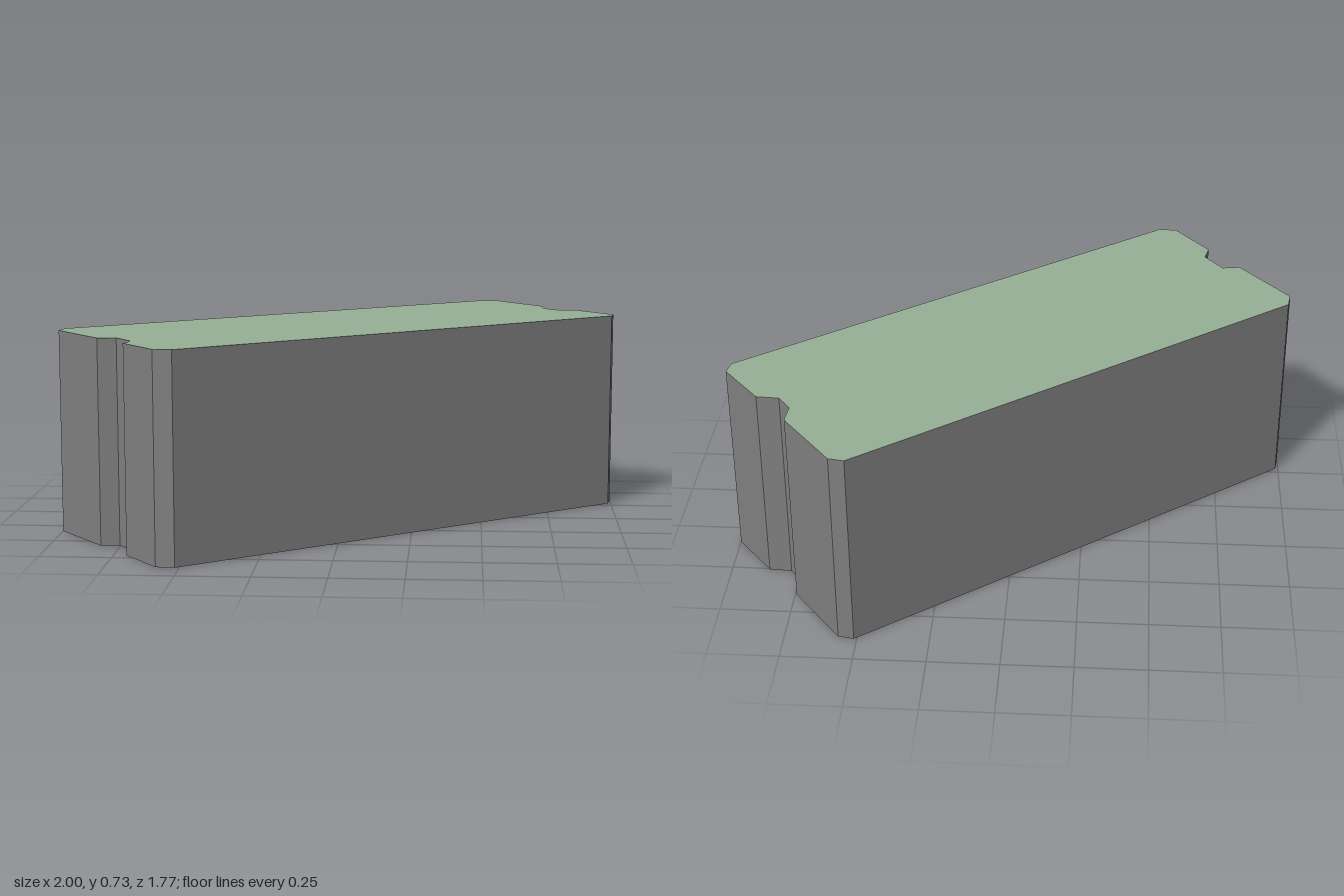
import * as THREE from 'three';

const HEIGHT = 0.725;

// Plan outline (x, z), clockwise seen from above: chamfered slab, notched at each end
const OUTLINE = [
  [0.51, -0.89], [0.565, -0.88], [0.745, -0.65], [0.74, -0.57],
  [0.785, -0.51], [0.865, -0.505], [1, -0.34], [0.99, -0.285],
  [-0.515, 0.885], [-0.58, 0.88], [-0.705, 0.715], [-0.69, 0.65],
  [-0.755, 0.56], [-0.82, 0.57], [-1, 0.34], [-0.99, 0.275],
];

export function createModel() {
  const wallMat = new THREE.MeshStandardMaterial({ color: 0x808080, side: THREE.DoubleSide });
  wallMat.name = 'wallGrey';
  const roofMat = new THREE.MeshStandardMaterial({ color: 0x96ae96, side: THREE.DoubleSide });
  roofMat.name = 'roofGreen';

  const model = new THREE.Group();
  model.name = 'building';

  // Walls: one flat quad per outline edge, open underneath
  const positions = [];
  OUTLINE.forEach(([ax, az], i) => {
    const [bx, bz] = OUTLINE[(i + 1) % OUTLINE.length];
    positions.push(
      ax, 0, az, ax, HEIGHT, az, bx, 0, bz,
      bx, 0, bz, ax, HEIGHT, az, bx, HEIGHT, bz,
    );
  });
  const wallGeo = new THREE.BufferGeometry();
  wallGeo.setAttribute('position', new THREE.Float32BufferAttribute(positions, 3));
  wallGeo.computeVertexNormals();
  const walls = new THREE.Mesh(wallGeo, wallMat);
  walls.name = 'walls';
  model.add(walls);

  // Flat roof: the outline laid horizontally
  const shape = new THREE.Shape(OUTLINE.map(([x, z]) => new THREE.Vector2(x, -z)));
  const roofGeo = new THREE.ShapeGeometry(shape).rotateX(-Math.PI / 2).translate(0, HEIGHT, 0);
  const roof = new THREE.Mesh(roofGeo, roofMat);
  roof.name = 'roof';
  model.add(roof);

  return model;
}
